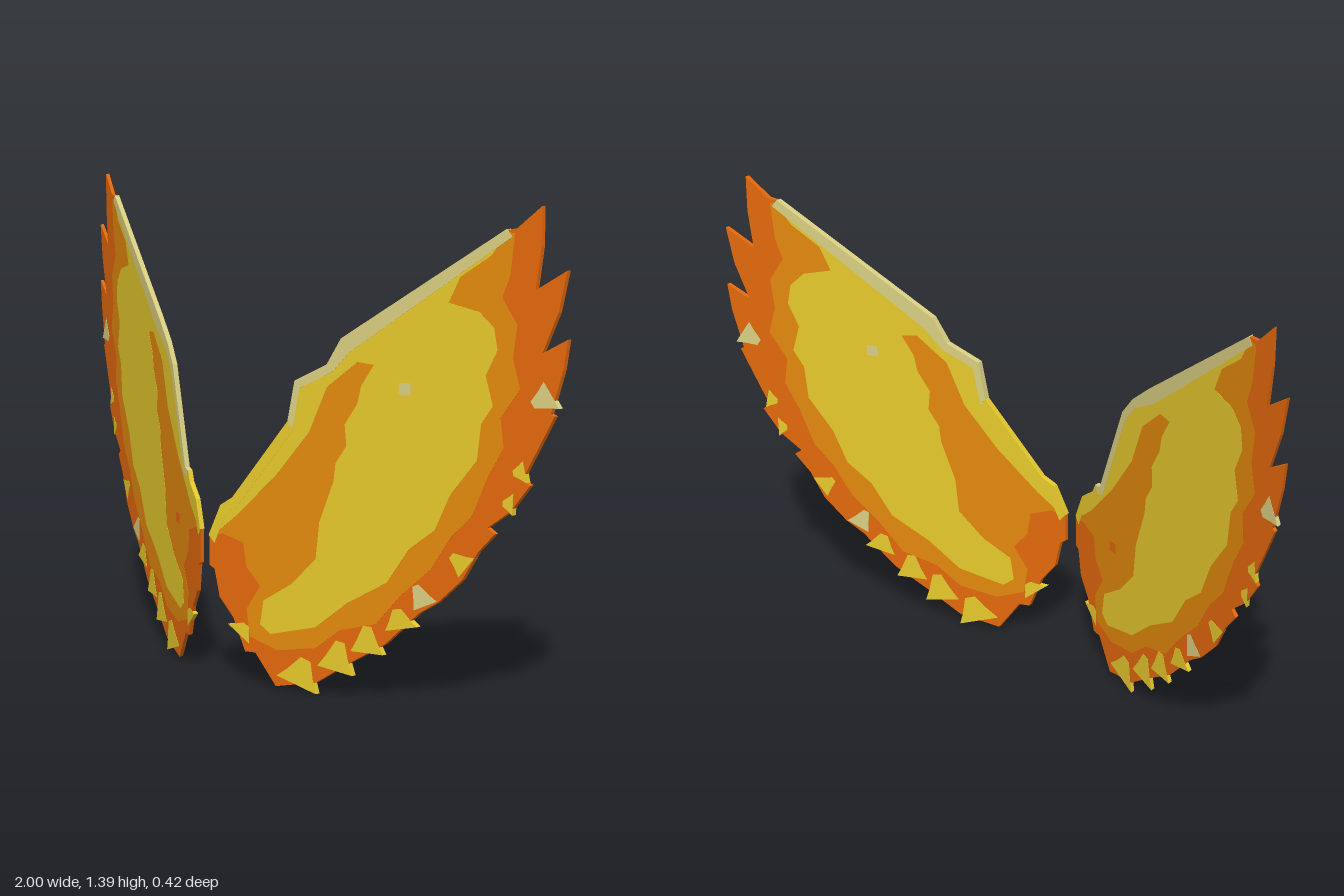
import * as THREE from 'three';

const mat = (name, color) => {
  const m = new THREE.MeshStandardMaterial({ color });
  m.name = name;
  return m;
};

export function createModel() {
  const deep = mat('deep orange', 0xe5690c);
  const orange = mat('orange', 0xe48a0d);
  const yellow = mat('golden yellow', 0xe7ca2d);
  const pale = mat('pale straw', 0xdad082);

  // Leading edges, from the wing root up to the tip
  const leadLeft = [[0.02, 0.42], [0.055, 0.51], [0.09, 0.535], [0.25, 0.765], [0.27, 0.88],
    [0.36, 0.93], [0.4, 1.005], [0.84, 1.32]];
  const leadRight = [[0.02, 0.43], [0.055, 0.51], [0.11, 0.55], [0.125, 0.58], [0.15, 0.585],
    [0.26, 0.87], [0.31, 0.93], [0.39, 0.995], [0.83, 1.322]];

  // Feathered outer edge, from the tip down and back to the root
  const feathers = [[0.865, 1.325], [0.928, 1.385], [0.928, 1.28], [0.915, 1.165], [0.995, 1.22],
    [0.975, 1.11], [0.935, 1.0], [1.0, 1.04], [0.99, 0.96], [0.96, 0.84], [0.97, 0.835],
    [0.945, 0.78], [0.89, 0.66], [0.91, 0.645], [0.86, 0.57], [0.8, 0.52], [0.82, 0.505],
    [0.775, 0.45], [0.735, 0.37], [0.67, 0.3], [0.62, 0.265], [0.525, 0.165], [0.42, 0.095],
    [0.33, 0.03], [0.215, 0.005], [0.155, 0.095], [0.125, 0.095], [0.09, 0.19], [0.05, 0.245],
    [0.035, 0.325], [0.02, 0.335]];

  // Middle tone field inside the dark rim
  const middle = [[0.86, 1.31], [0.85, 1.2], [0.83, 1.14], [0.87, 1.07], [0.86, 0.98], [0.88, 0.9],
    [0.83, 0.82], [0.84, 0.74], [0.8, 0.66], [0.76, 0.55], [0.7, 0.48], [0.65, 0.39], [0.57, 0.31],
    [0.5, 0.22], [0.4, 0.19], [0.33, 0.13], [0.22, 0.11], [0.14, 0.14], [0.13, 0.22], [0.17, 0.29],
    [0.13, 0.34], [0.12, 0.41], [0.06, 0.43]];

  // Bright field: outer side, then around the dark streak back to the root
  const bright = [[0.8, 1.25], [0.72, 1.19], [0.69, 1.12], [0.77, 1.1], [0.81, 1.06], [0.82, 1.0],
    [0.79, 0.93], [0.81, 0.85], [0.78, 0.8], [0.77, 0.7], [0.7, 0.6], [0.66, 0.5], [0.59, 0.44],
    [0.53, 0.34], [0.42, 0.27], [0.33, 0.19], [0.2, 0.155], [0.17, 0.18], [0.18, 0.25],
    [0.26, 0.305], [0.33, 0.385], [0.34, 0.49], [0.38, 0.61], [0.385, 0.66], [0.415, 0.71],
    [0.41, 0.77], [0.445, 0.83], [0.455, 0.88], [0.49, 0.94], [0.445, 0.945], [0.36, 0.87],
    [0.31, 0.74], [0.215, 0.61], [0.1, 0.485]];

  // Light notches on the rim: x, y, half width, depth, material
  const notches = [[0.96, 0.89, 0.04, 0.055, pale], [0.895, 0.68, 0.03, 0.03, yellow],
    [0.865, 0.59, 0.03, 0.025, yellow], [0.745, 0.405, 0.035, 0.05, yellow],
    [0.635, 0.287, 0.035, 0.06, pale], [0.57, 0.215, 0.045, 0.055, yellow],
    [0.475, 0.135, 0.045, 0.075, yellow], [0.385, 0.073, 0.05, 0.085, yellow],
    [0.275, 0.018, 0.06, 0.08, yellow], [0.107, 0.145, 0.04, 0.035, yellow]];

  const shift = (pts, dx, dy) => pts.map(([x, y]) => [x + dx, y + dy]);

  // Thin plate that follows the swept plane of one wing
  function plate(name, pts, thick, material, side) {
    const shape = new THREE.Shape(pts.map(([x, y]) => new THREE.Vector2(x * side, y)));
    const geo = new THREE.ExtrudeGeometry(shape, { depth: thick, bevelEnabled: false });
    const p = geo.attributes.position;
    for (let i = 0; i < p.count; i++) {
      p.setZ(i, p.getZ(i) - thick / 2 + 0.2 - 0.408 * (Math.abs(p.getX(i)) - 0.02));
    }
    geo.computeVertexNormals();
    const mesh = new THREE.Mesh(geo, material);
    mesh.name = name;
    return mesh;
  }

  function wing(name, side, lead) {
    const g = new THREE.Group();
    g.name = name;
    const inner = shift(lead, 0.004, -0.005);
    g.add(plate('featherRim', [...lead, ...feathers], 0.013, deep, side));
    g.add(plate('middleFeathers', [...inner, ...middle], 0.0145, orange, side));
    g.add(plate('brightFeathers', [...inner, ...bright], 0.016, yellow, side));

    // Pale strip along the leading edge, broader on the upper run
    const upper = lead.slice(3);
    const under = upper.map(([x, y]) => (x > 0.38 && x < 0.8 ? [x + 0.022, y - 0.035] : [x + 0.014, y - 0.018]));
    g.add(plate('leadingEdge', [...shift(upper, -0.001, 0.002), ...under.reverse()], 0.0175, pale, side));

    // Yellow lip along the root of the leading edge
    const root = lead.slice(0, 4);
    g.add(plate('rootEdge', [...shift(root, -0.001, 0.002), ...shift(root, 0.016, -0.02).reverse()], 0.0168, yellow, side));

    // Notches point from the rim towards the middle of the wing
    for (const [x, y, w, d, m] of notches) {
      const a = Math.atan2(0.6 - y, 0.48 - x), c = Math.cos(a), s = Math.sin(a);
      const pts = [[-0.001, -w], [0.4 * d, -0.65 * w], [d, -0.25 * w], [d, 0.25 * w],
        [0.4 * d, 0.65 * w], [-0.001, w]].map(([u, v]) => [x + u * c - v * s, y + u * s + v * c]);
      g.add(plate('rimNotch', pts, 0.0153, m, side));
    }
    return g;
  }

  // Small square fleck
  const fleck = (name, x, y, r, material, side) =>
    plate(name, [[x - r, y - r], [x + r, y - r], [x + r, y + r], [x - r, y + r]], 0.0175, material, side);

  const model = new THREE.Group();
  model.name = 'wings';
  const left = wing('leftWing', 1, leadLeft);
  left.add(fleck('paleFleck', 0.575, 0.88, 0.016, pale, 1));
  const right = wing('rightWing', -1, leadRight);
  right.add(fleck('darkFleck', 0.22, 0.425, 0.016, deep, -1));
  model.add(left, right);
  return model;
}
